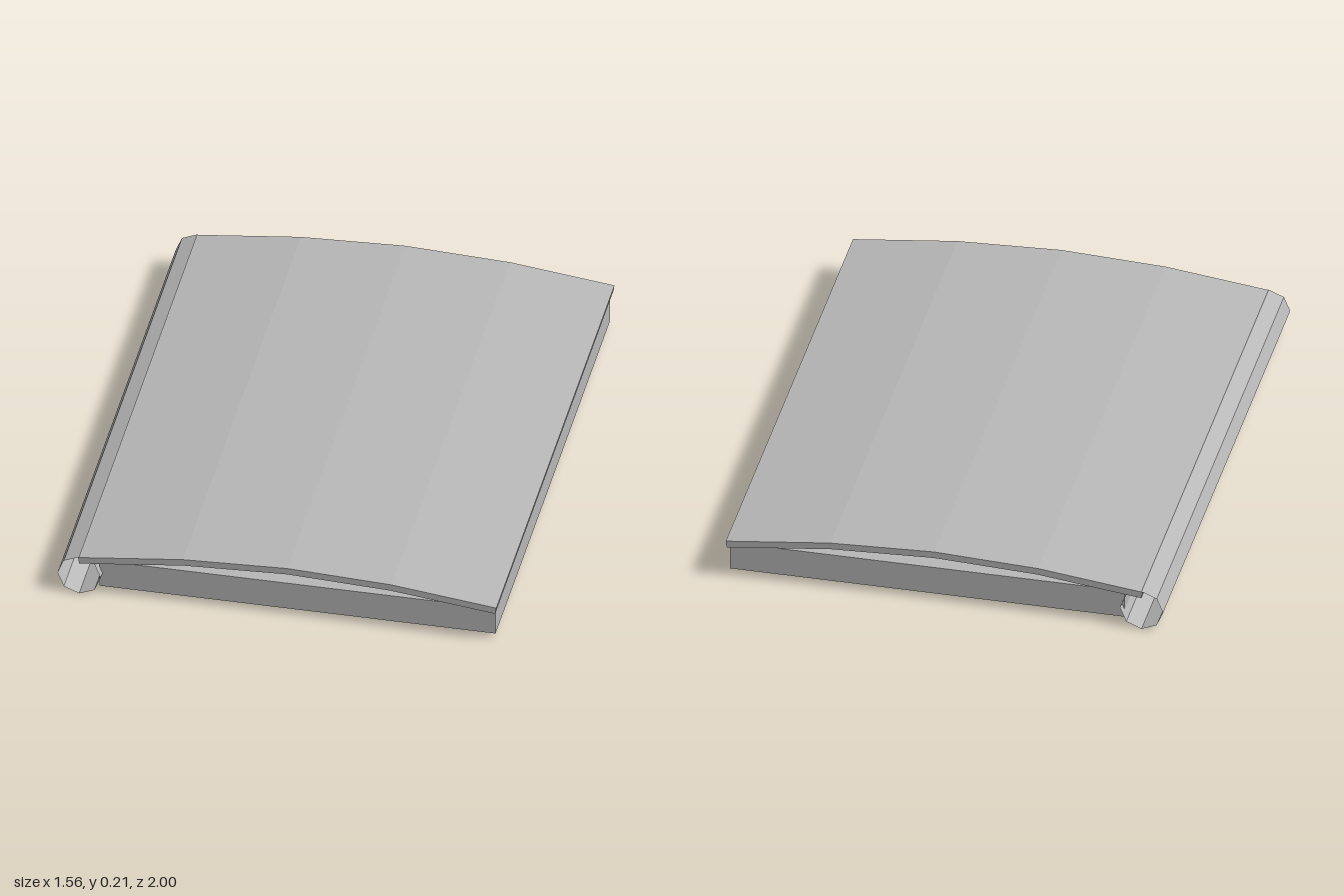
import * as THREE from 'three';

export function createModel() {
  const model = new THREE.Group();
  model.name = 'book';

  const grey = new THREE.MeshStandardMaterial({ color: 0xb8b8b8, flatShading: true, side: THREE.DoubleSide });
  grey.name = 'plain grey';

  const add = (name, geometry, x, y, z) => {
    const mesh = new THREE.Mesh(geometry, grey);
    mesh.name = name;
    mesh.position.set(x, y, z);
    model.add(mesh);
  };

  // Page block, slightly shorter than the cover
  add('pageBlock', new THREE.BoxGeometry(1.41, 0.107, 1.94), 0.066, 0.0755, 0);

  // Arched cover: a faceted strip, symmetric about its ridge
  const top = [[-0.745, 0.152], [-0.372, 0.197], [0, 0.213], [0.372, 0.197], [0.745, 0.152]];
  const under = [[0.741, 0.127], [0.368, 0.172], [0, 0.188], [-0.368, 0.172], [-0.741, 0.127]];
  const profile = new THREE.Shape([...top, ...under].map(([x, y]) => new THREE.Vector2(x, y)));
  add('cover', new THREE.ExtrudeGeometry(profile, { depth: 2, bevelEnabled: false }), 0.035, 0, -1);

  // Spine: an open eight-sided tube along the back edge of the pages
  const spine = new THREE.CylinderGeometry(0.077, 0.077, 2, 8, 1, true).rotateX(Math.PI / 2);
  add('spine', spine, -0.706, 0.077, 0);

  return model;
}
